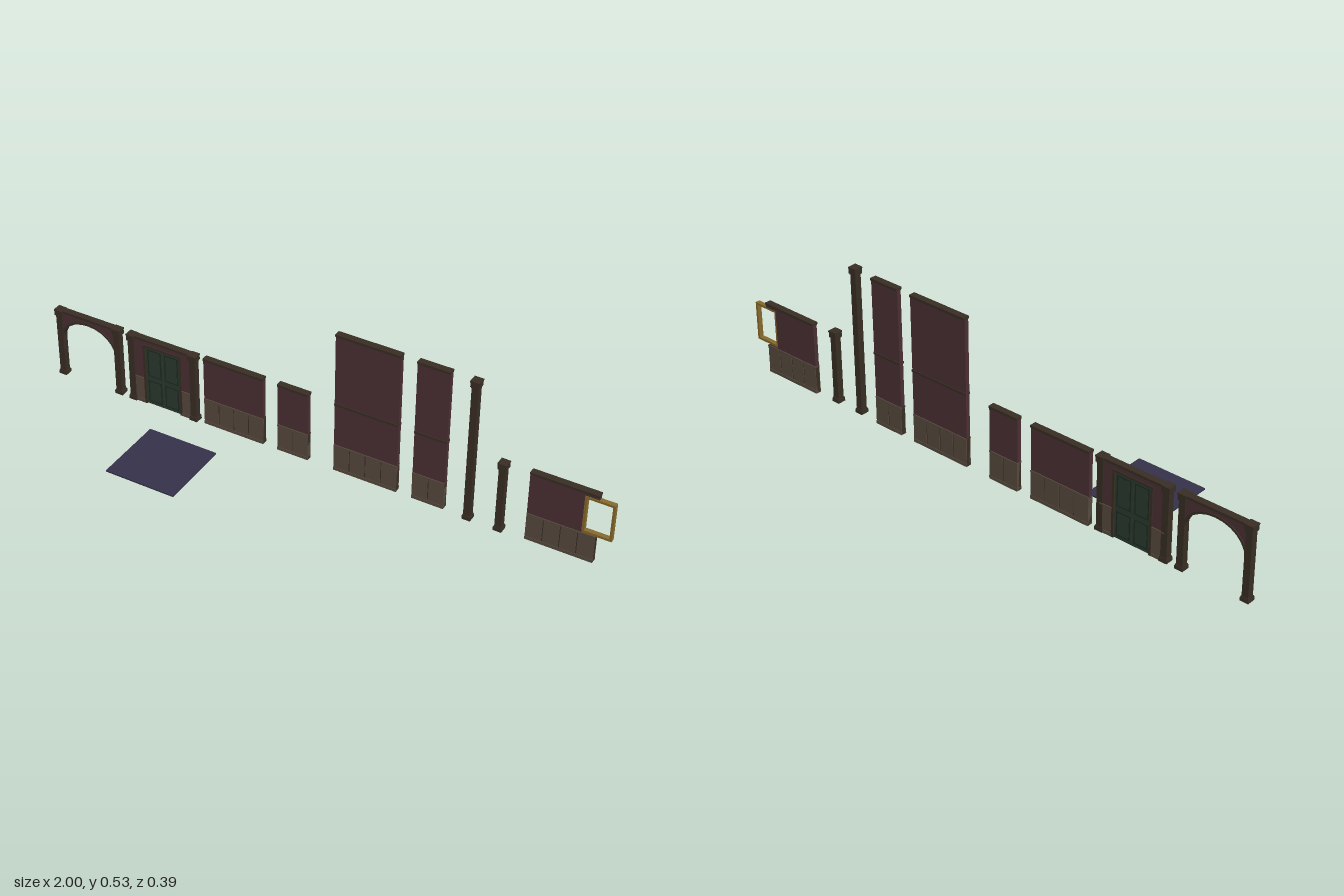
import * as THREE from 'three';

const mat = (color) => new THREE.MeshStandardMaterial({ color });
const M = {
  wall: mat(0x4b2f34), oak: mat(0x574a3e), dark: mat(0x382e24), green: mat(0x2a3a2f),
  greenDark: mat(0x1e2a22), gold: mat(0x86692c), floor: mat(0x34314a),
};
const BASE = 0.005, RAIL = 0.105, TOP = 0.262;
const WALL_Z = -0.183, POST_Z = -0.1755;

// Box given by its x and y limits, centre z and depth
function block(parent, name, m, x0, x1, y0, y1, z, d) {
  const mesh = new THREE.Mesh(new THREE.BoxGeometry(x1 - x0, y1 - y0, d), m);
  mesh.position.set((x0 + x1) / 2, (y0 + y1) / 2, z);
  mesh.name = name;
  parent.add(mesh);
  return mesh;
}

function group(parent, name) {
  const g = new THREE.Group();
  g.name = name;
  parent.add(g);
  return g;
}

// Square post with stepped base and capital
function post(parent, name, x, top, z = POST_Z) {
  const g = group(parent, name);
  const part = (n, w, y0, y1) => block(g, n, M.dark, x - w / 2, x + w / 2, y0, y1, z, w);
  part('postShaft', 0.0225, BASE, top - 0.004);
  part('postFoot', 0.029, BASE, 0.017);
  part('postFootStep', 0.026, 0.017, 0.021);
  part('postCapStep', 0.026, top - 0.025, top - 0.022);
  part('postCap', 0.029, top - 0.022, top - 0.005);
  part('postCapSlab', 0.031, top - 0.005, top);
}

// Lower panelling: backing, separate panels, skirting and rail
function wainscot(g, x0, x1, count, z = WALL_Z) {
  block(g, 'wainscotBacking', M.dark, x0, x1, BASE, RAIL, z, 0.015);
  const w = (x1 - x0) / count, gap = 0.0018;
  for (let i = 0; i < count; i++) {
    block(g, 'wainscotPanel', M.oak, x0 + i * w + (i ? gap : 0),
      x0 + (i + 1) * w - (i < count - 1 ? gap : 0), 0.015, 0.1, z, 0.018);
  }
  block(g, 'skirting', M.oak, x0, x1, BASE, 0.016, z, 0.021);
  block(g, 'chairRail', M.oak, x0, x1, 0.1, RAIL, z, 0.021);
}

// Crown strip along the top edge of a wall
function crown(g, x0, x1, top, z = WALL_Z) {
  block(g, 'crownStrip', M.dark, x0, x1, top - 0.007, top, z, 0.023);
  block(g, 'crownStep', M.dark, x0, x1, top - 0.01, top - 0.007, z, 0.019);
}

function wall(parent, name, x0, x1, top, count) {
  const g = group(parent, name);
  wainscot(g, x0, x1, count);
  block(g, 'wallPlaster', M.wall, x0, x1, RAIL, top - 0.007, WALL_Z, 0.015);
  if (top > 0.4) block(g, 'middleRail', M.dark, x0, x1, 0.257, 0.265, WALL_Z, 0.021);
  crown(g, x0, x1, top);
}

// Curve points of the arch, left to right
function archPoints(cx, rx, ry, spring) {
  const pts = [];
  for (let i = 0; i <= 12; i++) {
    const a = Math.PI * (1 - i / 12);
    pts.push(new THREE.Vector2(cx + rx * Math.cos(a), spring + ry * Math.sin(a)));
  }
  return pts;
}

function extrude(parent, name, m, pts, z, depth) {
  const geo = new THREE.ExtrudeGeometry(new THREE.Shape(pts), { depth, bevelEnabled: false });
  const mesh = new THREE.Mesh(geo, m);
  mesh.position.z = z - depth / 2;
  mesh.name = name;
  parent.add(mesh);
}

function archway(parent) {
  const g = group(parent, 'archway');
  const l = -0.985, r = -0.757, cx = (l + r) / 2, z = -0.179;
  post(g, 'archPost', l, TOP, POST_Z - 0.002);
  post(g, 'archPost', r, TOP, POST_Z - 0.002);
  const outer = archPoints(cx, 0.111, 0.092, 0.151);
  const inner = archPoints(cx, 0.104, 0.084, 0.151);
  extrude(g, 'archSpandrel', M.wall,
    [...outer, new THREE.Vector2(r, 0.255), new THREE.Vector2(l, 0.255)], z, 0.015);
  extrude(g, 'archBand', M.dark, [...outer, ...inner.reverse()], z, 0.021);
  crown(g, l, r, TOP, z);
}

function doorway(parent) {
  const g = group(parent, 'doorway');
  const l = -0.7, r = -0.463, cx = (l + r) / 2, z = -0.179;
  post(g, 'doorPost', l, TOP, POST_Z - 0.002);
  post(g, 'doorPost', r, TOP, POST_Z - 0.002);
  // Wall either side of and above the door
  for (const [a, b] of [[l, cx - 0.072], [cx + 0.072, r]]) {
    wainscot(g, a, b, 1, z);
    block(g, 'sidePlaster', M.wall, a, b, RAIL, 0.255, z, 0.015);
  }
  block(g, 'overDoorPlaster', M.wall, cx - 0.072, cx + 0.072, 0.235, 0.255, z, 0.015);
  crown(g, l, r, TOP, z);
  // Casing
  for (const s of [-1, 1]) {
    const x = cx + s * 0.069;
    block(g, 'doorJamb', M.dark, x - 0.004, x + 0.004, BASE, 0.238, z, 0.021);
  }
  block(g, 'doorHead', M.dark, cx - 0.073, cx + 0.073, 0.231, 0.239, z, 0.021);
  // Two leaves, each with a short lower and a taller upper panel on both faces
  for (const s of [-1, 1]) {
    const leaf = group(g, 'doorLeaf');
    const x = cx + s * 0.0325;
    block(leaf, 'leafSlab', M.green, x - 0.032, x + 0.032, BASE, 0.231, z, 0.01);
    for (const [y0, y1] of [[0.016, 0.1], [0.117, 0.222]]) {
      block(leaf, 'panelMoulding', M.greenDark, x - 0.026, x + 0.026, y0, y1, z, 0.0125);
      block(leaf, 'leafPanel', M.green, x - 0.021, x + 0.021, y0 + 0.005, y1 - 0.005, z, 0.014);
    }
  }
}

// Wall with a notch at its end holding half of a projecting window frame
function windowWall(parent) {
  const g = group(parent, 'windowWall');
  const x0 = 0.722, x1 = 0.945, wx = 0.9, wr = 0.997, y0 = 0.108, y1 = 0.244, t = 0.008;
  wainscot(g, x0, x1, 4);
  block(g, 'wallPlaster', M.wall, x0, wx, RAIL, 0.255, WALL_Z, 0.015);
  block(g, 'overWindowPlaster', M.wall, wx, x1, y1, 0.255, WALL_Z, 0.015);
  crown(g, x0, x1, TOP);
  const f = group(g, 'windowFrame');
  const z = -0.181, d = 0.016;
  block(f, 'frameSide', M.gold, wx, wx + t, y0, y1, z, d);
  block(f, 'frameSide', M.gold, wr - t, wr, y0, y1, z, d);
  block(f, 'frameSill', M.gold, wx + t, wr - t, y0, y0 + t, z, d);
  block(f, 'frameHead', M.gold, wx + t, wr - t, y1 - t, y1, z, d);
}

export function createModel() {
  const root = new THREE.Group();
  root.name = 'interiorWallKit';
  archway(root);
  doorway(root);
  wall(root, 'wideWall', -0.425, -0.202, TOP, 4);
  wall(root, 'narrowWall', -0.149, -0.037, TOP, 2);
  wall(root, 'tallWideWall', 0.057, 0.281, 0.523, 4);
  wall(root, 'tallNarrowWall', 0.335, 0.446, 0.523, 2);
  post(root, 'tallPost', 0.53, 0.526);
  post(root, 'shortPost', 0.636, TOP + 0.002);
  windowWall(root);
  block(root, 'floorTile', M.floor, -0.561, -0.308, 0, 0.005, 0.0695, 0.253);
  return root;
}
